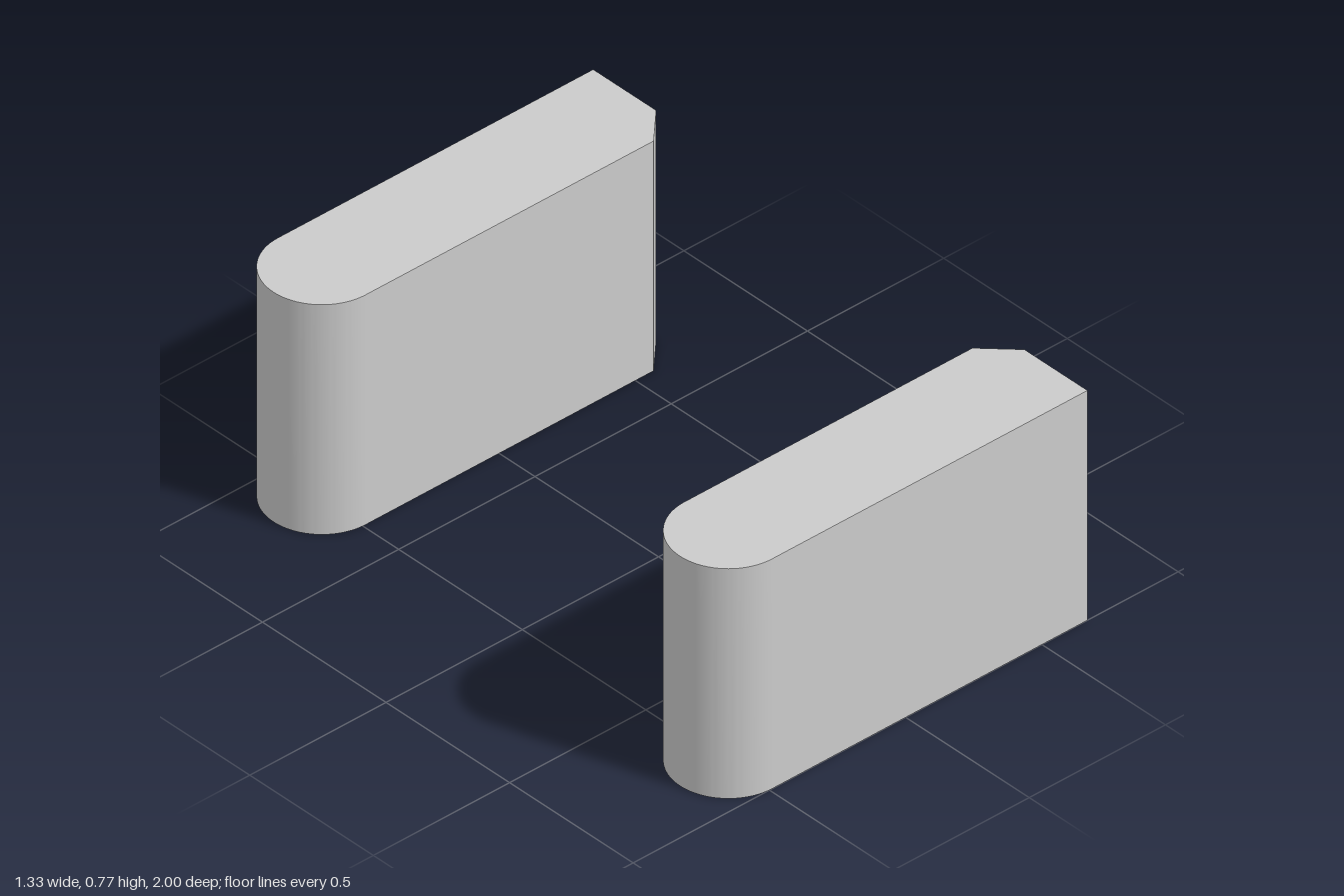
import * as THREE from 'three';
import { toCreasedNormals } from 'three/addons/utils/BufferGeometryUtils.js';

const HEIGHT = 0.773, END = 0.667, OUTER = 1, INNER = 0.645, CHAMFER = 0.1;
const RADIUS = (OUTER - INNER) / 2;

// Upright slab: rounded on the -x end, inner corner chamfered on the +x end.
// side = 1 for the front slab (+z), -1 for the back slab.
function slabGeometry(side) {
  const arcX = -END + RADIUS, midZ = (OUTER + INNER) / 2;
  const plan = new THREE.Shape();
  // plan y becomes -z once the extrusion is stood upright
  plan.moveTo(arcX, -side * INNER);
  plan.lineTo(END - CHAMFER, -side * INNER);
  plan.lineTo(END, -side * (INNER + CHAMFER));
  plan.lineTo(END, -side * OUTER);
  plan.lineTo(arcX, -side * OUTER);
  plan.absarc(arcX, -side * midZ, RADIUS, -side * Math.PI / 2, side * Math.PI / 2, side > 0);
  const geometry = new THREE.ExtrudeGeometry(plan, { depth: HEIGHT, bevelEnabled: false, curveSegments: 32 });
  geometry.rotateX(-Math.PI / 2);
  return toCreasedNormals(geometry, Math.PI / 6);
}

export function createModel() {
  const group = new THREE.Group();
  const material = new THREE.MeshStandardMaterial({ color: 0xcccccc });
  for (const [name, side] of [['frontSlab', 1], ['backSlab', -1]]) {
    const slab = new THREE.Mesh(slabGeometry(side), material);
    slab.name = name;
    group.add(slab);
  }
  return group;
}
